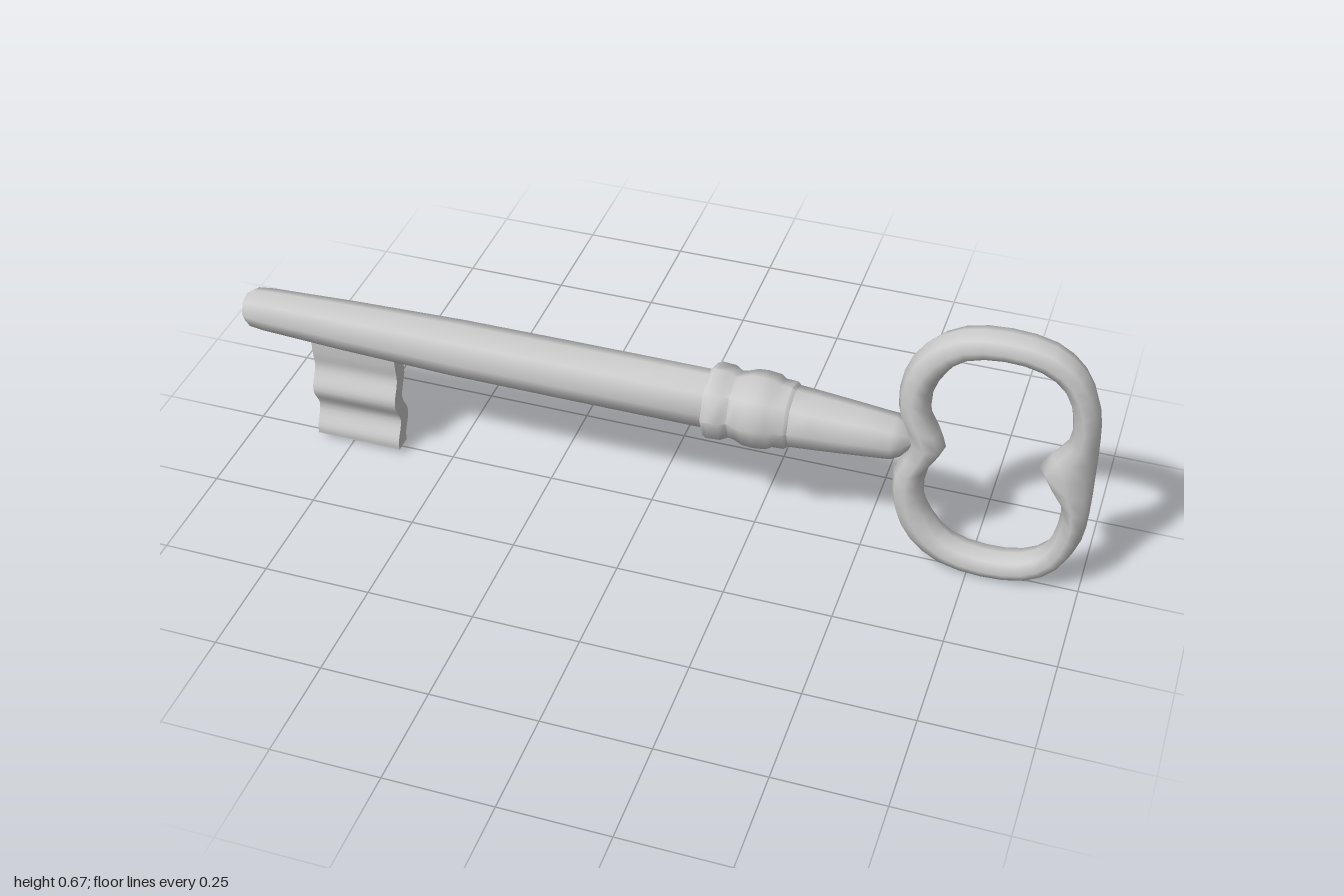
import * as THREE from 'three';
import { toCreasedNormals } from 'three/addons/utils/BufferGeometryUtils.js';

const AXIS_Y = 0.335;
const material = new THREE.MeshStandardMaterial({ color: 0xcccccc });

// Octagonal turned part lying along x, from [x, radius] pairs
function turned(name, profile) {
  const points = profile.map(([x, r]) => new THREE.Vector2(r, x));
  const geometry = new THREE.LatheGeometry(points, 8).rotateZ(-Math.PI / 2);
  const mesh = new THREE.Mesh(toCreasedNormals(geometry, 0.9), material);
  mesh.name = name;
  mesh.position.y = AXIS_Y;
  return mesh;
}

// Closed ring whose octagonal sections span an outer and an inner outline
function createBow() {
  // Upper half, right to left: outer x, y and inner x, y about the key axis
  const half = [
    [1.0, 0, 0.878, 0], [0.999, 0.1, 0.932, 0.075], [0.99, 0.185, 0.935, 0.15],
    [0.953, 0.265, 0.912, 0.22], [0.885, 0.318, 0.86, 0.258], [0.785, 0.333, 0.782, 0.268],
    [0.685, 0.318, 0.705, 0.25], [0.61, 0.265, 0.66, 0.2], [0.57, 0.185, 0.635, 0.14],
    [0.563, 0.09, 0.64, 0.068], [0.594, 0, 0.674, 0],
  ];
  const lower = half.slice(1, -1).reverse().map(([a, b, c, d]) => [a, -b, c, -d]);
  const rows = [...half, ...lower];
  const curve = (i) => new THREE.CatmullRomCurve3(
    rows.map((r) => new THREE.Vector3(r[i], r[i + 1], 0)), true, 'catmullrom', 0.5);
  const outer = curve(0), inner = curve(2);

  const steps = rows.length * 2, sides = 8;
  const positions = [], index = [];
  for (let i = 0; i < steps; i++) {
    const a = outer.getPoint(i / steps), b = inner.getPoint(i / steps);
    for (let j = 0; j < sides; j++) {
      const angle = (j / sides) * Math.PI * 2;
      const p = a.clone().lerp(b, (1 - Math.cos(angle)) / 2);
      positions.push(p.x, p.y, 0.042 * Math.sin(angle));
      const k = (j + 1) % sides, n = (i + 1) % steps;
      const q = [i * sides + j, n * sides + j, n * sides + k, i * sides + k];
      index.push(q[0], q[1], q[2], q[0], q[2], q[3]);
    }
  }
  const geometry = new THREE.BufferGeometry();
  geometry.setAttribute('position', new THREE.Float32BufferAttribute(positions, 3));
  geometry.setIndex(index);
  geometry.computeVertexNormals();
  const mesh = new THREE.Mesh(geometry, material);
  mesh.name = 'bow';
  mesh.position.y = AXIS_Y;
  return mesh;
}

// Plate with a wavy section, extruded along the shaft
function createBit() {
  // Mid-line of the section: [z, y]
  const midline = new THREE.SplineCurve([
    [0, 0.32], [-0.004, 0.25], [-0.008, 0.205], [0.014, 0.15],
    [-0.012, 0.09], [0.008, 0.04], [0.008, 0.016],
  ].map(([z, y]) => new THREE.Vector2(-z, y)));
  const points = midline.getPoints(24), t = 0.022;
  const shape = new THREE.Shape([
    ...points.map((p) => new THREE.Vector2(p.x - t, p.y)),
    ...points.reverse().map((p) => new THREE.Vector2(p.x + t, p.y)),
  ]);
  const geometry = new THREE.ExtrudeGeometry(shape, { depth: 0.21, bevelEnabled: false });
  geometry.rotateY(Math.PI / 2);
  const mesh = new THREE.Mesh(toCreasedNormals(geometry, 0.7), material);
  mesh.name = 'bit';
  mesh.position.x = -0.835;
  return mesh;
}

export function createModel() {
  const key = new THREE.Group();
  key.name = 'key';
  key.add(
    turned('shaft', [
      [-1, 0], [-1, 0.036], [-0.985, 0.047], [-0.95, 0.051], [-0.75, 0.059],
      [-0.47, 0.066], [-0.2, 0.067], [0.16, 0.067],
    ]),
    turned('collar', [
      [0.135, 0.06], [0.138, 0.083], [0.148, 0.088], [0.18, 0.086], [0.196, 0.077],
      [0.21, 0.079], [0.23, 0.087], [0.255, 0.089], [0.285, 0.086], [0.298, 0.078],
      [0.325, 0.077], [0.335, 0.068],
    ]),
    turned('neck', [
      [0.32, 0.071], [0.38, 0.067], [0.48, 0.059], [0.56, 0.052], [0.58, 0.042], [0.615, 0],
    ]),
    createBow(),
    createBit(),
  );
  return key;
}
